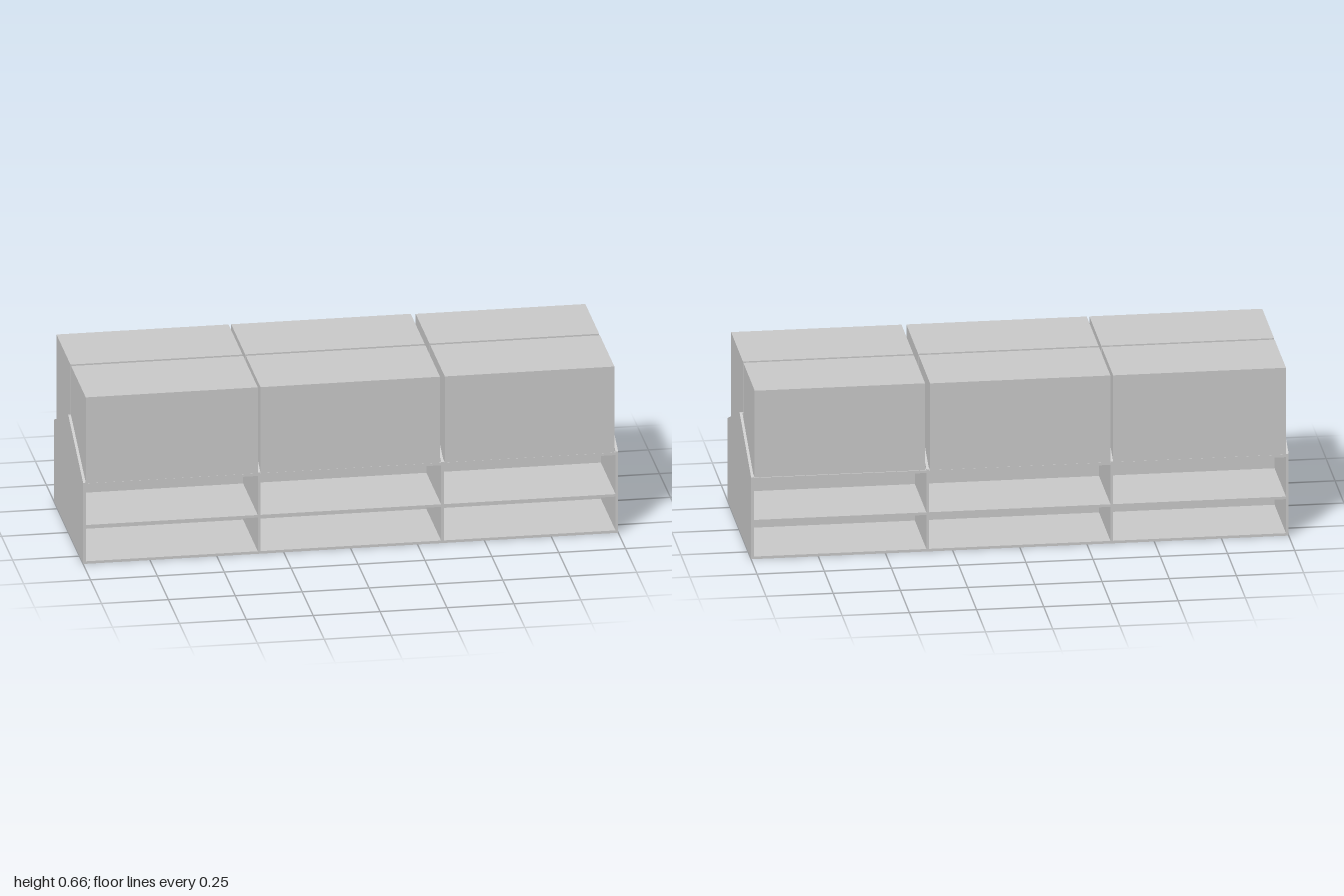
import * as THREE from 'three';

const DEPTH = 0.333;      // half depth of the unit
const SPINE_Z = -0.007;   // centre of the middle wall
const T = 0.01;           // board thickness

export function createModel() {
  const group = new THREE.Group();
  group.name = 'doubleSidedShelfUnit';
  const material = new THREE.MeshStandardMaterial({ color: 0xcccccc, flatShading: true });

  // Box given by its minimum and maximum on each axis
  function addBox(name, [x0, x1], [y0, y1], [z0, z1]) {
    const mesh = new THREE.Mesh(new THREE.BoxGeometry(x1 - x0, y1 - y0, z1 - z0), material);
    mesh.position.set((x0 + x1) / 2, (y0 + y1) / 2, (z0 + z1) / 2);
    mesh.name = name;
    group.add(mesh);
  }

  // Upright panels with a gabled top; shape x becomes -z after turning
  const gable = new THREE.Shape([
    [-DEPTH, 0], [DEPTH, 0], [DEPTH, 0.32], [0.014, 0.46], [0, 0.46], [-DEPTH, 0.32],
  ].map(([x, y]) => new THREE.Vector2(x, y)));
  const panelGeometry = new THREE.ExtrudeGeometry(gable, { depth: T, bevelEnabled: false });
  panelGeometry.rotateY(Math.PI / 2);
  const panelStarts = [-1, -0.347, 0.338, 0.99];
  panelStarts.forEach((x, i) => {
    const panel = new THREE.Mesh(panelGeometry, material);
    panel.position.x = x;
    panel.name = i === 0 || i === 3 ? 'endPanel' : 'dividerPanel';
    group.add(panel);
  });

  // Each bay: middle wall, boards and one large box on either side
  const boxSpans = [[-0.99, -0.347], [-0.337, 0.334], [0.352, 0.986]];
  boxSpans.forEach((span, i) => {
    const bay = [panelStarts[i] + T, panelStarts[i + 1]];
    addBox('middleWall', bay, [T, 0.46], [SPINE_Z - 0.006, SPINE_Z + 0.006]);
    addBox('baseBoard', bay, [0, T], [-DEPTH, DEPTH]);
    for (const y of [0.143, 0.307]) {
      addBox('shelfFront', bay, [y, y + T], [0, DEPTH]);
      addBox('shelfBack', bay, [y, y + T], [-DEPTH, -0.014]);
    }
    addBox('frontBox', span, [0.317, 0.656], [0.001, DEPTH - 0.001]);
    addBox('backBox', span, [0.317, 0.656], [i === 2 ? -0.328 : -DEPTH + 0.001, -0.014]);
  });

  return group;
}
